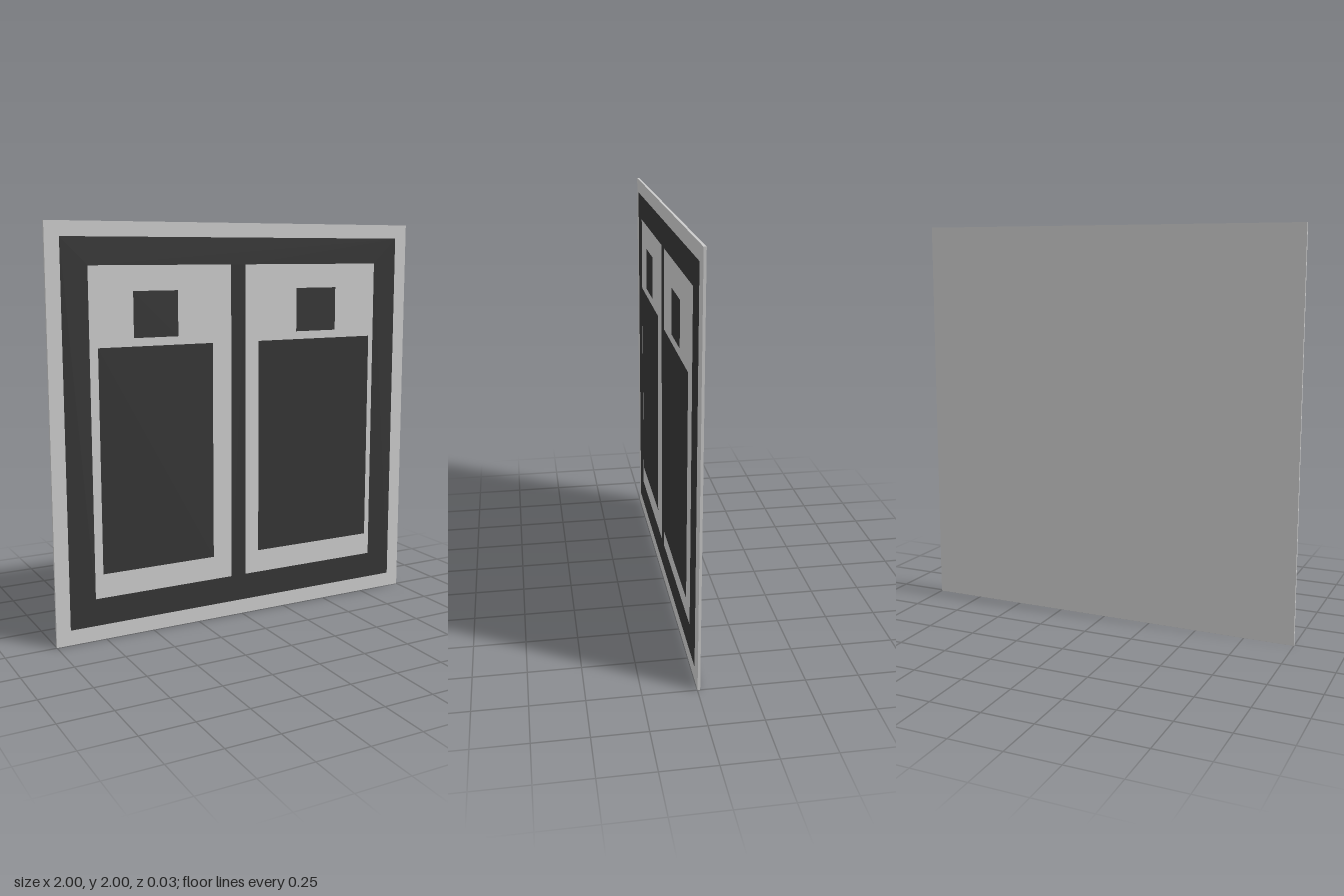
import * as THREE from 'three';

const grey = new THREE.MeshStandardMaterial({ color: 0xcccccc });
const dark = new THREE.MeshStandardMaterial({ color: 0x353535, side: THREE.DoubleSide });

// Trace a rectangle into a shape or hole path
function rect(path, x0, x1, y0, y1) {
  path.moveTo(x0, y0);
  path.lineTo(x1, y0);
  path.lineTo(x1, y1);
  path.lineTo(x0, y1);
  path.closePath();
  return path;
}

// Flat dark sheet at depth z
function sheet(name, shape, z) {
  const mesh = new THREE.Mesh(new THREE.ShapeGeometry(shape), dark);
  mesh.name = name;
  mesh.position.z = z;
  return mesh;
}

export function createModel() {
  const model = new THREE.Group();
  model.name = 'sign';

  // Square backing panel
  const panel = new THREE.Mesh(new THREE.BoxGeometry(2, 2, 0.012), grey);
  panel.name = 'backPanel';
  panel.position.set(0, 1, -0.007);
  model.add(panel);

  // Border frame with a centre divider, leaving two openings
  const frame = rect(new THREE.Shape(), -0.93, 0.93, 0.075, 1.93);
  frame.holes.push(
    rect(new THREE.Path(), -0.8, -0.06, 0.21, 1.8),
    rect(new THREE.Path(), 0.02, 0.795, 0.21, 1.8)
  );
  model.add(sheet('borderFrame', frame, 0.001));

  // Two pictograms, each a square head above a tall body
  const figures = [
    { name: 'rightFigure', body: [-0.76, -0.165], head: [-0.58, -0.35], z: 0.005 },
    { name: 'leftFigure', body: [0.09, 0.76], head: [0.31, 0.545], z: 0.012 },
  ];
  for (const { name, body, head, z } of figures) {
    const figure = new THREE.Group();
    figure.name = name;
    figure.add(
      sheet('body', rect(new THREE.Shape(), ...body, 0.33, 1.42), z),
      sheet('head', rect(new THREE.Shape(), ...head, 1.46, 1.68), z)
    );
    model.add(figure);
  }
  return model;
}
